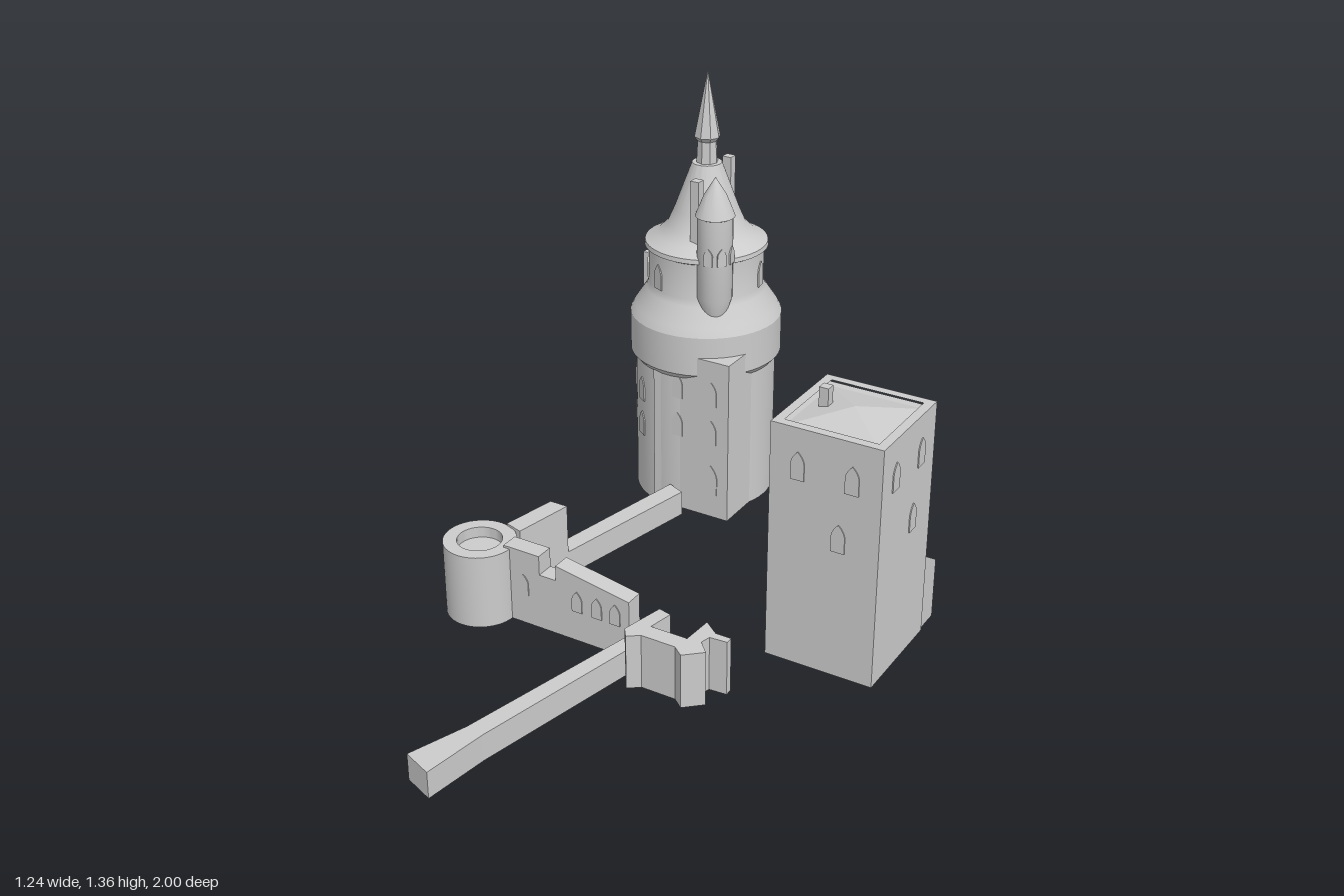
import * as THREE from 'three';
import { toCreasedNormals } from 'three/addons/utils/BufferGeometryUtils.js';

const mat = new THREE.MeshStandardMaterial({ color: 0xcccccc });

function add(parent, name, geo, x = 0, y = 0, z = 0, ry = 0) {
  const m = new THREE.Mesh(geo, mat);
  m.name = name;
  m.position.set(x, y, z);
  m.rotation.y = ry;
  parent.add(m);
  return m;
}

// Box given by its extents
function block(parent, name, x0, x1, y0, y1, z0, z1) {
  return add(parent, name, new THREE.BoxGeometry(x1 - x0, y1 - y0, z1 - z0),
    (x0 + x1) / 2, (y0 + y1) / 2, (z0 + z1) / 2);
}

const vecs = pts => pts.map(([a, b]) => new THREE.Vector2(a, b));

// Vertical prism from a plan outline of [x, z] points
function prism(parent, name, plan, y0, y1, hole) {
  const flip = pts => vecs(pts.map(([x, z]) => [x, -z]));
  const shape = new THREE.Shape(flip(plan));
  if (hole) shape.holes.push(new THREE.Path(flip(hole)));
  const geo = new THREE.ExtrudeGeometry(shape, { depth: y1 - y0, bevelEnabled: false });
  geo.rotateX(-Math.PI / 2);
  return add(parent, name, geo, 0, y0, 0);
}

// Turned solid, smooth except at sharp profile corners
function turned(parent, name, profile, x, z, sides = 48, crease = 0.45) {
  const geo = new THREE.LatheGeometry(vecs(profile), sides);
  return add(parent, name, toCreasedNormals(geo, crease), x, 0, z);
}

// Pointed-arch window panel, y is its sill
function archWindow(parent, x, y, z, ry = 0, w = 0.036, h = 0.08) {
  const s = new THREE.Shape();
  s.moveTo(-w / 2, 0);
  s.lineTo(w / 2, 0);
  s.lineTo(w / 2, h * 0.6);
  s.quadraticCurveTo(w * 0.42, h * 0.82, 0, h);
  s.quadraticCurveTo(-w * 0.42, h * 0.82, -w / 2, h * 0.6);
  const geo = new THREE.ExtrudeGeometry(s, { depth: 0.008, bevelEnabled: false, curveSegments: 4 });
  geo.translate(0, 0, -0.005);
  add(parent, 'window', geo, x, y, z, ry);
}

// Windows set around a drum, angles in degrees from the front
function ringWindows(parent, cx, cz, r, y, degrees, w, h) {
  for (const d of degrees) {
    const a = THREE.MathUtils.degToRad(d);
    archWindow(parent, cx + r * Math.sin(a), y, cz + r * Math.cos(a), a, w, h);
  }
}

function group(parent, name) {
  const g = new THREE.Group();
  g.name = name;
  parent.add(g);
  return g;
}

function buildGreatTower(root) {
  const g = group(root, 'greatTower');
  const cx = -0.36, cz = -0.765;
  turned(g, 'towerBody', [[0, 0], [0.218, 0], [0.218, 0.455], [0.235, 0.475], [0.235, 0.6],
    [0.222, 0.625], [0.185, 0.68], [0.177, 0.7], [0.177, 0.815]], cx, cz);
  turned(g, 'towerRoof', [[0.17, 0.81], [0.19, 0.82], [0.188, 0.834], [0.15, 0.855], [0.12, 0.885],
    [0.098, 0.935], [0.045, 1.078], [0, 1.08]], cx, cz);
  turned(g, 'spire', [[0.034, 1.06], [0.03, 1.145], [0.04, 1.158], [0.022, 1.25], [0, 1.36]], cx, cz, 8, 0.1);

  // Windows on lower drum, overhang and upper drum
  ringWindows(g, cx, cz, 0.218, 0.325, [-135, -98, -69, -35]);
  ringWindows(g, cx, cz, 0.218, 0.205, [-135, -98, -69, -35]);
  ringWindows(g, cx, cz, 0.235, 0.53, [-150, -118, -86], 0.034, 0.065);
  ringWindows(g, cx, cz, 0.177, 0.705, [-64, -25, 98, 137, 180, 222]);

  // Square stair block with its windows and door
  block(g, 'stairBlock', -0.42, -0.155, 0, 0.535, -0.76, -0.55);
  for (const x of [-0.335, -0.215])
    for (const y of [0.255, 0.385]) archWindow(g, x, y, -0.55);
  archWindow(g, -0.215, 0.08, -0.55, 0, 0.045, 0.1);

  // Corbelled corner turret
  const tx = -0.257, tz = -0.637;
  turned(g, 'turretBody', [[0, 0.6], [0.025, 0.62], [0.054, 0.71], [0.054, 0.97]], tx, tz, 24);
  turned(g, 'turretRoof', [[0.05, 0.963], [0.06, 0.968], [0.035, 1.03], [0, 1.087]], tx, tz, 24);
  ringWindows(g, tx, tz, 0.054, 0.825, [8, 52, 96], 0.028, 0.055);

  // Chimneys
  block(g, 'frontChimney', -0.34, -0.311, 0.83, 1.06, -0.66, -0.632);
  block(g, 'backChimney', -0.385, -0.355, 0.81, 1.05, -0.93, -0.902);

  // Battlemented side bay
  block(g, 'sideBay', -0.592, -0.52, 0.6, 0.705, -0.835, -0.77);
  for (const z of [-0.835, -0.79]) block(g, 'merlon', -0.592, -0.56, 0.705, 0.738, z, z + 0.02);
}

function buildSquareKeep(root) {
  const g = group(root, 'squareKeep');
  const rect = (x0, x1, z0, z1) => [[x0, z0], [x1, z0], [x1, z1], [x0, z1]];
  const cx = 0.4525, cz = -0.1425, half = 0.1625;
  block(g, 'keepBody', 0.29, 0.615, 0, 0.703, -0.305, 0.02);
  prism(g, 'parapet', rect(0.29, 0.615, -0.305, 0.02), 0.703, 0.722, rect(0.317, 0.588, -0.278, -0.007));
  const roof = new THREE.ConeGeometry(0.1355 * Math.SQRT2, 0.032, 4).toNonIndexed();
  roof.computeVertexNormals();
  add(g, 'lowRoof', roof, cx, 0.72, cz, Math.PI / 4);
  block(g, 'keepChimney', 0.35, 0.378, 0.7, 0.77, -0.163, -0.135);

  // Three windows on each face
  for (let i = 0; i < 4; i++) {
    const a = i * Math.PI / 2;
    for (const [u, y] of [[-0.08, 0.57], [0.078, 0.57], [0.045, 0.388]]) {
      archWindow(g, cx + u * Math.cos(a) + half * Math.sin(a), y,
        cz - u * Math.sin(a) + half * Math.cos(a), a, 0.04, 0.083);
    }
  }

  // Rear annex with sloping tops, drawn in side profile and extruded across x
  const annex = (name, x0, x1, profile) => {
    const geo = new THREE.ExtrudeGeometry(new THREE.Shape(vecs(profile)), { depth: x1 - x0, bevelEnabled: false });
    geo.rotateY(Math.PI / 2);
    add(g, name, geo, x0, 0, 0);
  };
  annex('annex', 0.34, 0.61, [[0.3, 0], [0.39, 0], [0.39, 0.187], [0.305, 0.242], [0.3, 0.242]]);
  annex('annexBay', 0.415, 0.535, [[0.38, 0], [0.418, 0], [0.418, 0.165], [0.38, 0.19]]);
}

function buildCurtainWalls(root) {
  const g = group(root, 'curtainWalls');

  // Round bastion with sunken top
  turned(g, 'roundBastion', [[0, 0], [0.105, 0], [0.105, 0.228], [0.065, 0.228], [0.065, 0.195], [0, 0.195]],
    -0.515, 0.235);

  // Wall from great tower to bastion: low run, then tall end
  prism(g, 'lowSideWall', [[-0.355, -0.54], [-0.298, -0.515], [-0.4, -0.035], [-0.458, -0.035]], 0, 0.08);
  prism(g, 'tallSideWall', [[-0.458, -0.035], [-0.4, -0.035], [-0.435, 0.152], [-0.492, 0.135]], 0, 0.235);

  // Front wall with notch and sloping top
  const front = new THREE.Shape(vecs([[-0.43, 0], [-0.015, 0], [-0.015, 0.182], [-0.255, 0.222],
    [-0.255, 0.175], [-0.31, 0.175], [-0.31, 0.235], [-0.43, 0.235]]));
  add(g, 'frontWall', new THREE.ExtrudeGeometry(front, { depth: 0.055, bevelEnabled: false }), 0, 0, 0.183);
  for (const x of [-0.365, -0.185, -0.12, -0.06]) archWindow(g, x, 0.095, 0.238, 0, 0.033, 0.065);

  // Long low outer wall
  prism(g, 'outerWall', [[-0.012, 0.238], [0.035, 0.238], [-0.09, 0.81], [-0.117, 1],
    [-0.205, 0.967], [-0.145, 0.8]], 0, 0.08);

  // Gatehouse remains with angled buttresses
  prism(g, 'gatehouse', [[0.06, 0.2], [0.1, 0.21], [0.085, 0.285], [0.197, 0.285], [0.203, 0.19],
    [0.25, 0.225], [0.297, 0.225], [0.297, 0.246], [0.245, 0.25], [0.238, 0.28], [0.272, 0.315],
    [0.222, 0.36], [0.19, 0.335], [0.085, 0.335], [0.052, 0.36], [0.03, 0.33]], 0, 0.167);
}

export function createModel() {
  const root = new THREE.Group();
  root.name = 'castle';
  buildGreatTower(root);
  buildSquareKeep(root);
  buildCurtainWalls(root);
  return root;
}
